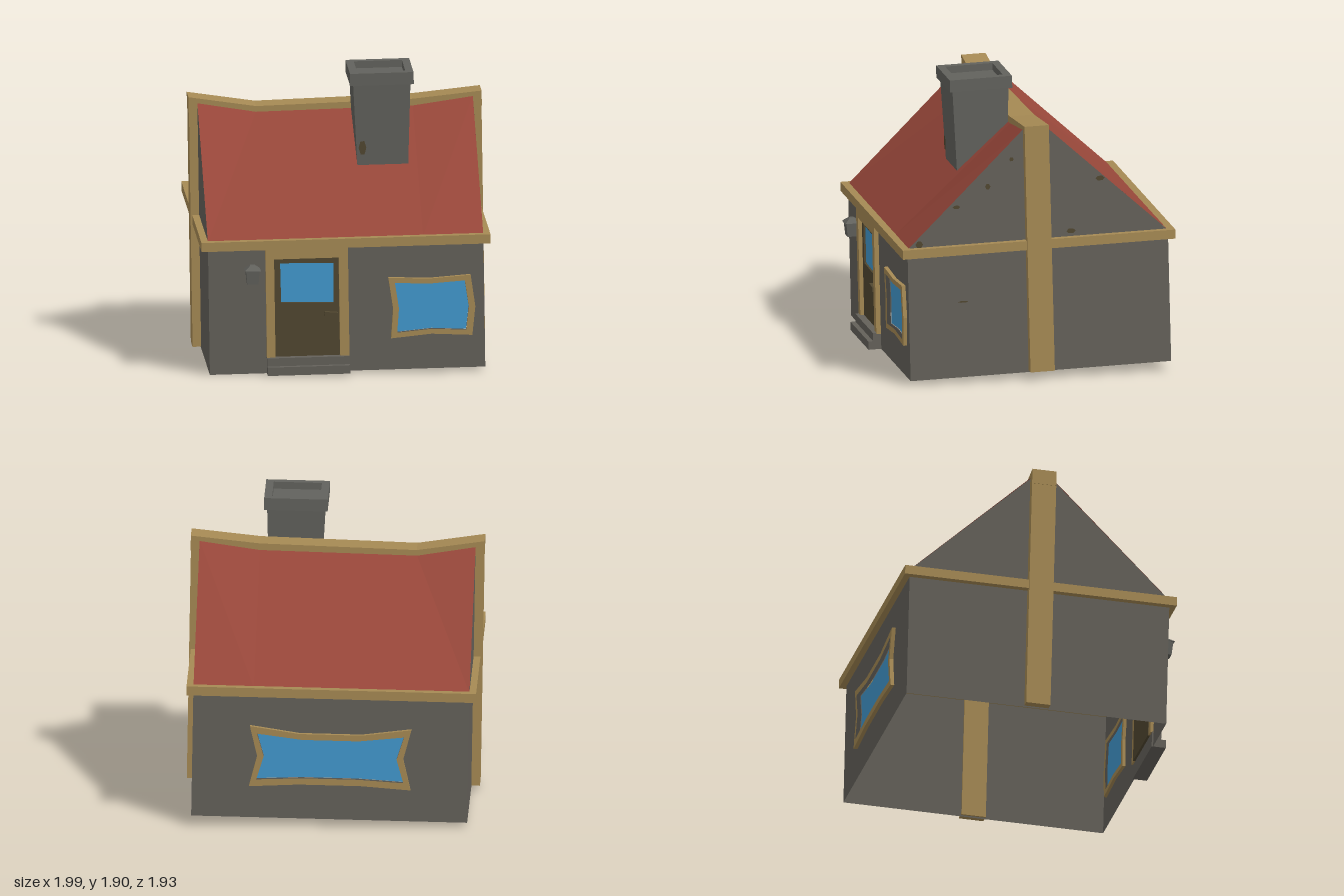
import * as THREE from 'three';

const mat = (name, color, double = false) => {
  const m = new THREE.MeshStandardMaterial({ color });
  m.name = name;
  if (double) m.side = THREE.DoubleSide;
  return m;
};

export function createModel() {
  const stone = mat('stone', 0x64615a, true);
  const chimneyStone = mat('chimney stone', 0x62625d);
  const timber = mat('timber', 0xa68a54);
  const tiles = mat('roof tiles', 0x98473a, true);
  const wood = mat('dark wood', 0x514730);
  const glass = mat('glass', 0x4299cf, true);

  const HW = 0.888, HD = 0.858, EAVE = 0.85; // half width, half depth, eave height
  const house = new THREE.Group();
  house.name = 'cottage';

  const add = (name, geo, material, x = 0, y = 0, z = 0, parent = house) => {
    const m = new THREE.Mesh(geo, material);
    m.name = name;
    m.position.set(x, y, z);
    parent.add(m);
    return m;
  };
  // box given by its minimum and maximum corners
  const box = (name, material, a, b, parent = house) => add(name,
    new THREE.BoxGeometry(b[0] - a[0], b[1] - a[1], b[2] - a[2]), material,
    (a[0] + b[0]) / 2, (a[1] + b[1]) / 2, (a[2] + b[2]) / 2, parent);
  const shape = (pts) => new THREE.Shape(pts.map((p) => new THREE.Vector2(...p)));
  const hole = (s, pts) => { s.holes.push(new THREE.Path(pts.map((p) => new THREE.Vector2(...p)))); return s; };
  const rect = (x0, y0, x1, y1) => [[x0, y0], [x1, y0], [x1, y1], [x0, y1]];
  const extrude = (s, depth) => new THREE.ExtrudeGeometry(s, { depth, bevelEnabled: false });
  // four-sided tapered block, open to both narrow and wide ends
  const taper = (bottom, top, h) => {
    const g = new THREE.CylinderGeometry(top * Math.SQRT2, bottom * Math.SQRT2, h, 4, 1).toNonIndexed();
    g.rotateY(Math.PI / 4);
    g.computeVertexNormals();
    return g;
  };
  // outline shrunk towards a centre
  const shrink = (pts, cx, cy, sx, sy) => pts.map(([x, y]) => [cx + (x - cx) * sx, cy + (y - cy) * sy]);

  // Crooked window outlines
  const frontOutline = [[0.27, 0.61], [0.534, 0.597], [0.801, 0.614], [0.828, 0.405],
    [0.806, 0.217], [0.544, 0.233], [0.282, 0.21], [0.298, 0.405]];
  const frontInner = shrink(frontOutline, 0.548, 0.413, 0.85, 0.82);
  const backOutline = [[-0.52, 0.62], [-0.2, 0.575], [0.2, 0.575], [0.52, 0.62], [0.47, 0.42],
    [0.52, 0.215], [0.2, 0.235], [-0.2, 0.235], [-0.52, 0.215], [-0.47, 0.42]];
  const backInner = shrink(backOutline, 0, 0.412, 0.91, 0.76);

  // Front and back walls, with their windows
  const wall = (name, holes, outline, inner) => {
    const g = new THREE.Group();
    g.name = name;
    house.add(g);
    const s = shape(rect(-HW, 0, HW, EAVE));
    holes.forEach((h) => hole(s, h));
    add('wallPanel', new THREE.ShapeGeometry(s), stone, 0, 0, HD, g);
    add('windowFrame', extrude(hole(shape(outline), inner), 0.045), timber, 0, 0, HD - 0.02, g);
    add('windowGlass', new THREE.ShapeGeometry(shape(inner)), glass, 0, 0, HD - 0.005, g);
    return g;
  };
  const doorHole = rect(-0.465, 0.1, -0.048, 0.755);
  wall('frontWall', [frontInner, doorHole], frontOutline, frontInner);
  wall('backWall', [backInner], backOutline, backInner).rotation.y = Math.PI;

  // Side walls with gables, and the upright posts in front of them
  for (const s of [-1, 1]) {
    const gable = shape([[-HD, 0], [HD, 0], [HD, EAVE + 0.02], [0.08, 1.61], [-0.08, 1.61], [-HD, EAVE + 0.02]]);
    add('sideWall', new THREE.ShapeGeometry(gable), stone, s * HW).rotation.y = s * Math.PI / 2;
    box('post', timber, [s > 0 ? 0.875 : -0.943, 0.01, -0.08], [s > 0 ? 0.943 : -0.875, 1.6, 0.08]);
  }

  // Eave band around the house
  const band = hole(shape(rect(-0.932, -0.898, 0.932, 0.898)), rect(-0.87, -0.84, 0.87, 0.84));
  add('eaveBand', extrude(band, 0.06).rotateX(-Math.PI / 2), timber, 0, 0.82, 0);

  // Sagging roof slopes: straight at the eave, dipped at the ridge
  const ridge = [[-HW, 1.62], [-0.51, 1.552], [0.5, 1.562], [HW, 1.612]];
  for (const s of [-1, 1]) {
    const pos = [], index = [];
    ridge.forEach(([x, y], i) => {
      pos.push(x, 0.872, s * HD, x, y, s * 0.075);
      const a = i * 2;
      if (i < 3) index.push(...(s > 0 ? [a, a + 2, a + 3, a, a + 3, a + 1] : [a, a + 3, a + 2, a, a + 1, a + 3]));
    });
    const g = new THREE.BufferGeometry();
    g.setAttribute('position', new THREE.Float32BufferAttribute(pos, 3));
    g.setIndex(index);
    const flat = g.toNonIndexed();
    flat.computeVertexNormals();
    add(s > 0 ? 'frontRoof' : 'backRoof', flat, tiles);
  }

  // Ridge beam following the sag
  const top = [[-0.945, 1.657], [-0.51, 1.585], [0.5, 1.602], [0.945, 1.642]];
  const beam = shape([...top, ...top.map(([x, y]) => [x, y - 0.1]).reverse()]);
  add('ridgeBeam', extrude(beam, 0.16), timber, 0, 0, -0.08);

  // Chimney widening upwards, with a hollow cap
  const chimney = new THREE.Group();
  chimney.name = 'chimney';
  chimney.position.set(0.277, 0, 0.26);
  house.add(chimney);
  add('chimneyShaft', taper(0.162, 0.186, 0.62), chimneyStone, 0, 1.51, 0, chimney);
  const cap = hole(shape(rect(-0.205, -0.205, 0.205, 0.205)), rect(-0.155, -0.155, 0.155, 0.155));
  add('chimneyCap', extrude(cap, 0.08).rotateX(-Math.PI / 2), chimneyStone, 0, 1.786, 0, chimney);

  // Door, its frame, pane and handle
  const door = new THREE.Group();
  door.name = 'door';
  house.add(door);
  const frame = shape([[-0.52, 0.1], [-0.465, 0.1], [-0.465, 0.755], [-0.048, 0.755], [-0.048, 0.1],
    [0.012, 0.1], [0.012, 0.825], [-0.52, 0.825]]);
  add('doorFrame', extrude(frame, 0.05), timber, 0, 0, HD - 0.02, door);
  const pane = [[-0.422, 0.465], [-0.085, 0.455], [-0.08, 0.715], [-0.425, 0.723]];
  const leaf = hole(shape(rect(-0.465, 0.1, -0.048, 0.755)), pane);
  add('doorLeaf', extrude(leaf, 0.03), wood, 0, 0, HD - 0.025, door);
  add('doorPane', new THREE.ShapeGeometry(shape(pane)), glass, 0, 0, HD - 0.008, door);
  box('doorHandle', wood, [-0.145, 0.366, HD], [-0.06, 0.396, HD + 0.035], door).rotation.z = -0.1;

  // Two doorsteps
  box('lowerStep', stone, [-0.52, 0, HD - 0.01], [0.012, 0.055, 0.942]);
  box('upperStep', stone, [-0.52, 0.055, HD - 0.01], [0.012, 0.108, 0.91]);

  // Wall lamp
  const lamp = new THREE.Group();
  lamp.name = 'wallLamp';
  lamp.position.set(-0.607, 0.6, 0.9);
  house.add(lamp);
  add('lampBody', taper(0.036, 0.044, 0.09), chimneyStone, 0, 0.05, 0, lamp);
  add('lampRoof', taper(0.052, 0.015, 0.03), chimneyStone, 0, 0.11, 0, lamp);
  box('lampBracket', chimneyStone, [-0.012, 0.04, -0.05], [0.012, 0.07, 0], lamp);

  // Small worn patches on the right gable and chimney: z, y, length, height
  const patches = [[-0.42, 1.25, 0.06, 0.035], [-0.22, 0.915, 0.06, 0.035], [0.32, 1.25, 0.035, 0.04],
    [0.78, 0.9, 0.05, 0.05], [0.53, 1.13, 0.05, 0.025], [0.16, 1.42, 0.03, 0.03], [0.5, 0.5, 0.07, 0.012]];
  for (const [z, y, w, h] of patches) {
    add('wornPatch', new THREE.CircleGeometry(0.5, 6).scale(w, h, 1), wood, HW + 0.003, y, z).rotation.y = Math.PI / 2;
  }
  add('chimneyPatch', new THREE.CircleGeometry(0.5, 6).scale(0.05, 0.1, 1), wood, -0.13, 1.37, 0.176, chimney);

  // The whole cottage leans a little
  house.rotation.set(0.021, -0.075, 0.018);
  house.position.set(0.015, 0.035, -0.02);
  const model = new THREE.Group();
  model.name = 'crookedCottage';
  model.add(house);
  return model;
}
